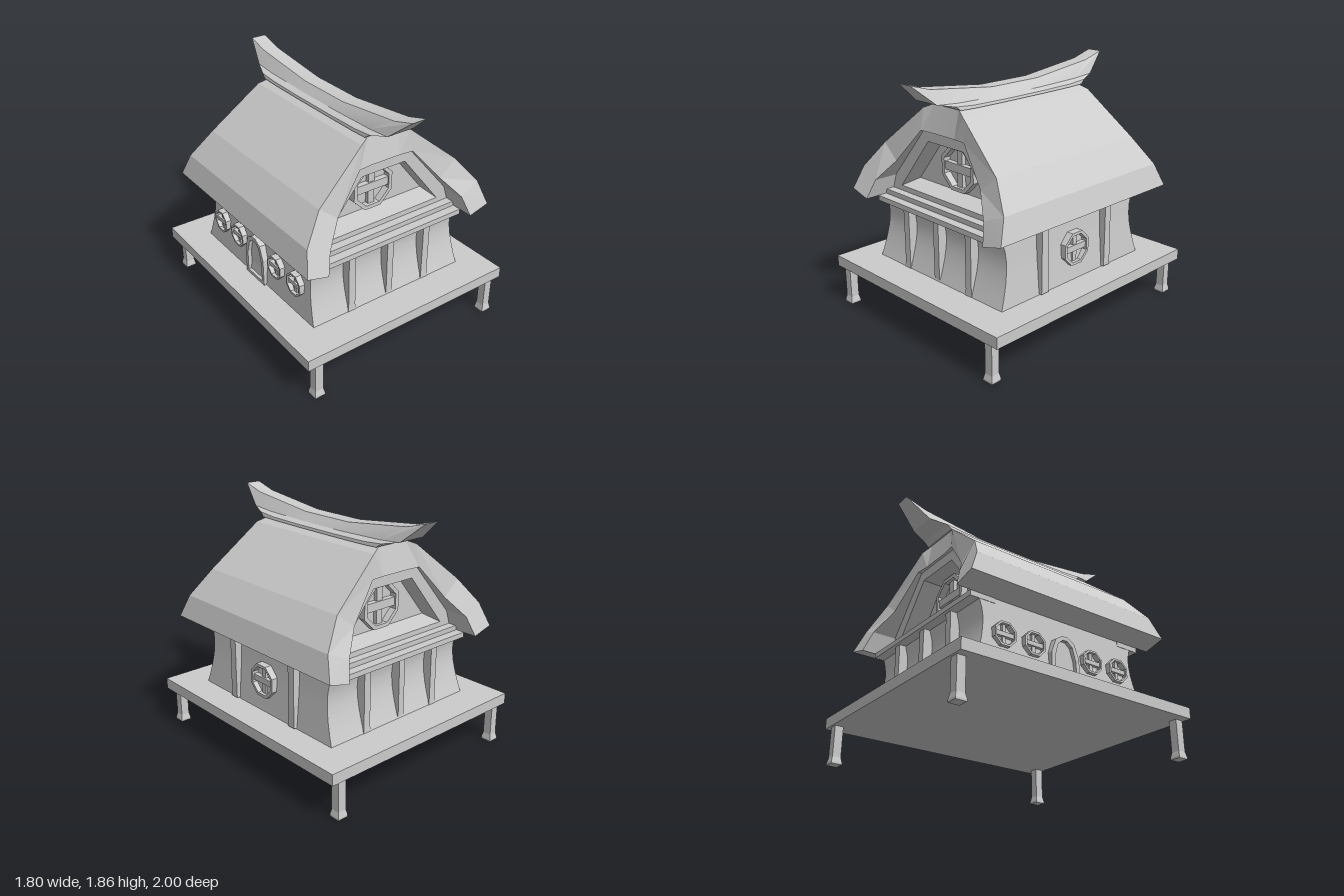
import * as THREE from 'three';
import { toCreasedNormals } from 'three/addons/utils/BufferGeometryUtils.js';

const grey = new THREE.MeshStandardMaterial({ color: 0xcccccc });

function add(parent, name, geometry, x = 0, y = 0, z = 0) {
  const mesh = new THREE.Mesh(geometry, grey);
  mesh.name = name;
  mesh.position.set(x, y, z);
  parent.add(mesh);
  return mesh;
}

// Solid through a row of closed rings; each end is closed by strips pairing point i with n-1-i
function loft(rings, crease = 0.1) {
  const n = rings[0].length;
  const tris = [];
  const quad = (a, b, c, d) => tris.push([a, b, c], [a, c, d]);
  for (let r = 0; r < rings.length - 1; r++) {
    for (let i = 0; i < n; i++) {
      const j = (i + 1) % n;
      quad(rings[r][i], rings[r][j], rings[r + 1][j], rings[r + 1][i]);
    }
  }
  const first = rings[0], last = rings[rings.length - 1];
  for (let i = 0; i < n / 2 - 1; i++) {
    const k = n - 1 - i;
    quad(first[i], first[k], first[k - 1], first[i + 1]);
    quad(last[i], last[i + 1], last[k - 1], last[k]);
  }
  // Turn the faces outward
  let volume = 0;
  const [a, b, c] = [0, 1, 2].map(() => new THREE.Vector3());
  for (const t of tris) volume += a.fromArray(t[0]).dot(b.fromArray(t[1]).cross(c.fromArray(t[2])));
  if (volume < 0) tris.forEach((t) => t.reverse());
  const g = new THREE.BufferGeometry();
  g.setAttribute('position', new THREE.Float32BufferAttribute(tris.flat(2), 3));
  return toCreasedNormals(g, crease);
}

// Upright solid from rows of [y, half width in x, half depth in z]
const tower = (rows, crease) => loft(rows.map(([y, w, d]) =>
  [[-w, y, -d], [-w, y, d], [w, y, d], [w, y, -d]]), crease);

const shapeOf = (pts) => new THREE.Shape(pts.map(([x, y]) => new THREE.Vector2(x, y)));
const mirrored = (half) => [...half, ...half.slice().reverse().map(([x, ...rest]) => [-x, ...rest])];

// Flat plate with an optional hole, starting at z = 0 and growing towards +z
function plate(outline, hole, depth) {
  const shape = shapeOf(outline);
  if (hole) shape.holes.push(shapeOf(hole));
  return new THREE.ExtrudeGeometry(shape, { depth, bevelEnabled: false });
}

function octagon(apothem) {
  const r = apothem / Math.cos(Math.PI / 8);
  return Array.from({ length: 8 }, (_, i) => {
    const t = (i + 0.5) * Math.PI / 4;
    return [r * Math.cos(t), r * Math.sin(t)];
  });
}

// Octagonal window facing +z, its back at z = 0
function makeWindow(name, r, depth) {
  const g = new THREE.Group();
  g.name = name;
  add(g, 'windowFrame', plate(octagon(r), octagon(r * 0.83), depth));
  add(g, 'windowCrossbar', new THREE.BoxGeometry(r * 1.7, r * 0.38, depth * 0.8), 0, 0, depth * 0.4);
  add(g, 'windowUpright', new THREE.BoxGeometry(r * 0.32, r * 1.7, depth * 0.6), 0, 0, depth * 0.3);
  return g;
}

export function createModel() {
  const model = new THREE.Group();
  model.name = 'raisedHouse';

  // Platform and legs with flared feet
  add(model, 'platform', new THREE.BoxGeometry(1.8, 0.085, 2), 0, 0.3325, 0);
  const leg = tower([[0, 0.042, 0.042], [0.015, 0.042, 0.042], [0.055, 0.033, 0.033], [0.295, 0.033, 0.033]]);
  for (const x of [-0.8, 0.8]) for (const z of [-0.95, 0.95]) add(model, 'leg', leg, x, 0, z);

  // Walls: front and back are hollowed, sides lean in
  add(model, 'walls', tower([
    [0.37, 0.675, 0.74], [0.45, 0.667, 0.713], [0.55, 0.658, 0.685], [0.63, 0.65, 0.67],
    [0.71, 0.644, 0.664], [0.78, 0.64, 0.672], [0.86, 0.636, 0.695], [0.92, 0.632, 0.695],
  ], 0.5));

  // Posts on front, back and left side
  const post = tower([[0.375, 0.034, 0.06], [0.42, 0.029, 0.056], [0.8, 0.029, 0.056], [0.86, 0.032, 0.06]]);
  const middlePost = tower([[0.39, 0.027, 0.058], [0.86, 0.028, 0.058]]);
  for (const s of [-1, 1]) {
    for (const x of [-0.34, 0.34]) add(model, 'endPost', post, x, 0, s * 0.682);
    add(model, 'middlePost', middlePost, 0, 0, s * 0.682);
  }
  const sidePost = tower([[0.385, 0.045, 0.036], [0.41, 0.045, 0.033], [0.85, 0.04, 0.03], [0.91, 0.04, 0.033]]);
  for (const z of [-0.34, 0.34]) add(model, 'sidePost', sidePost, 0.655, 0, z);

  // Beams and gables
  const gableOutline = mirrored([[0.64, 0.88], [0.59, 1.03], [0.23, 1.45]]);
  const recess = mirrored([[0.52, 0.96], [0.19, 1.37]]);
  const gableFrame = plate(gableOutline, recess, 0.17);
  const sill = loft([-0.52, 0.52].map((x) => [[x, 0.95, 0], [x, 0.96, 0.16], [x * 0.97, 0.99, 0], [x * 0.97, 0.99, -0.01]]));
  for (const s of [1, -1]) {
    const gable = new THREE.Group();
    gable.name = s > 0 ? 'frontGable' : 'backGable';
    gable.rotation.y = s > 0 ? 0 : Math.PI;
    add(gable, 'beam', new THREE.BoxGeometry(1.28, 0.04, 0.2), 0, 0.862, 0.665);
    add(gable, 'gableFrame', gableFrame, 0, 0, 0.46);
    add(gable, 'gablePanel', plate(gableOutline, null, 0.47));
    add(gable, 'gableSill', sill, 0, 0, 0.47);
    const w = makeWindow('gableWindow', 0.17, 0.06);
    w.position.set(0, 1.18, 0.465);
    gable.add(w);
    model.add(gable);
  }

  // Roof shell; each point is [x, y, reach in z]
  const outer = mirrored([[0.81, 0.925, 0.875], [0.76, 1.1, 0.8], [0.6, 1.3, 0.71], [0.21, 1.62, 0.645], [0.13, 1.655, 0.61]]);
  const inner = mirrored([[0.64, 0.88, 0.875], [0.59, 1.03, 0.82], [0.455, 1.187, 0.72], [0.23, 1.45, 0.66], [0.12, 1.45, 0.65]]);
  const roofRing = [...outer, ...inner.reverse()];
  add(model, 'roof', loft([-1, 1].map((s) => roofRing.map(([x, y, z]) => [x, y, s * z]))));

  // Upswept ridge cap; each row of points is [half width, y, reach in z]
  const ridge = [
    [[0.06, 1.745, 0.23], [0.11, 1.685, 0.22], [0.16, 1.668, 0.2], [0.165, 1.648, 0.2]],
    [[0.06, 1.81, 0.79], [0.112, 1.695, 0.6], [0.16, 1.673, 0.5], [0.165, 1.65, 0.48]],
    [[0.06, 1.86, 0.963], [0.112, 1.71, 0.785], [0.158, 1.686, 0.66], [0.165, 1.655, 0.62]],
  ];
  const ridgeRing = (row, s) => mirrored(row).map(([x, y, z]) => [x, y, s * z]);
  add(model, 'ridgeCap', loft([
    ...ridge.slice().reverse().map((row) => ridgeRing(row, -1)),
    ...ridge.map((row) => ridgeRing(row, 1)),
  ], 0.3));

  // Left side window
  const leftWindow = makeWindow('leftWindow', 0.125, 0.06);
  leftWindow.position.set(0.635, 0.625, 0);
  leftWindow.rotation.y = Math.PI / 2;
  model.add(leftWindow);

  // Right side: four small windows around an arched door
  for (const z of [-0.51, -0.26, 0.26, 0.51]) {
    const w = makeWindow('rightWindow', 0.087, 0.055);
    w.position.set(-0.635, 0.615, z);
    w.rotation.y = -Math.PI / 2;
    model.add(w);
  }
  const arch = (w, base, top) => mirrored([[w, base], [w * 0.98, top - 0.14], [w * 0.66, top - 0.035], [w * 0.2, top]]);
  const door = new THREE.Group();
  door.name = 'door';
  door.position.x = -0.62;
  door.rotation.y = -Math.PI / 2;
  add(door, 'doorFrame', plate(arch(0.125, 0.375, 0.735), arch(0.095, 0.4, 0.705), 0.075));
  add(door, 'doorPanel', plate(arch(0.1, 0.38, 0.71), null, 0.045));
  model.add(door);

  return model;
}
